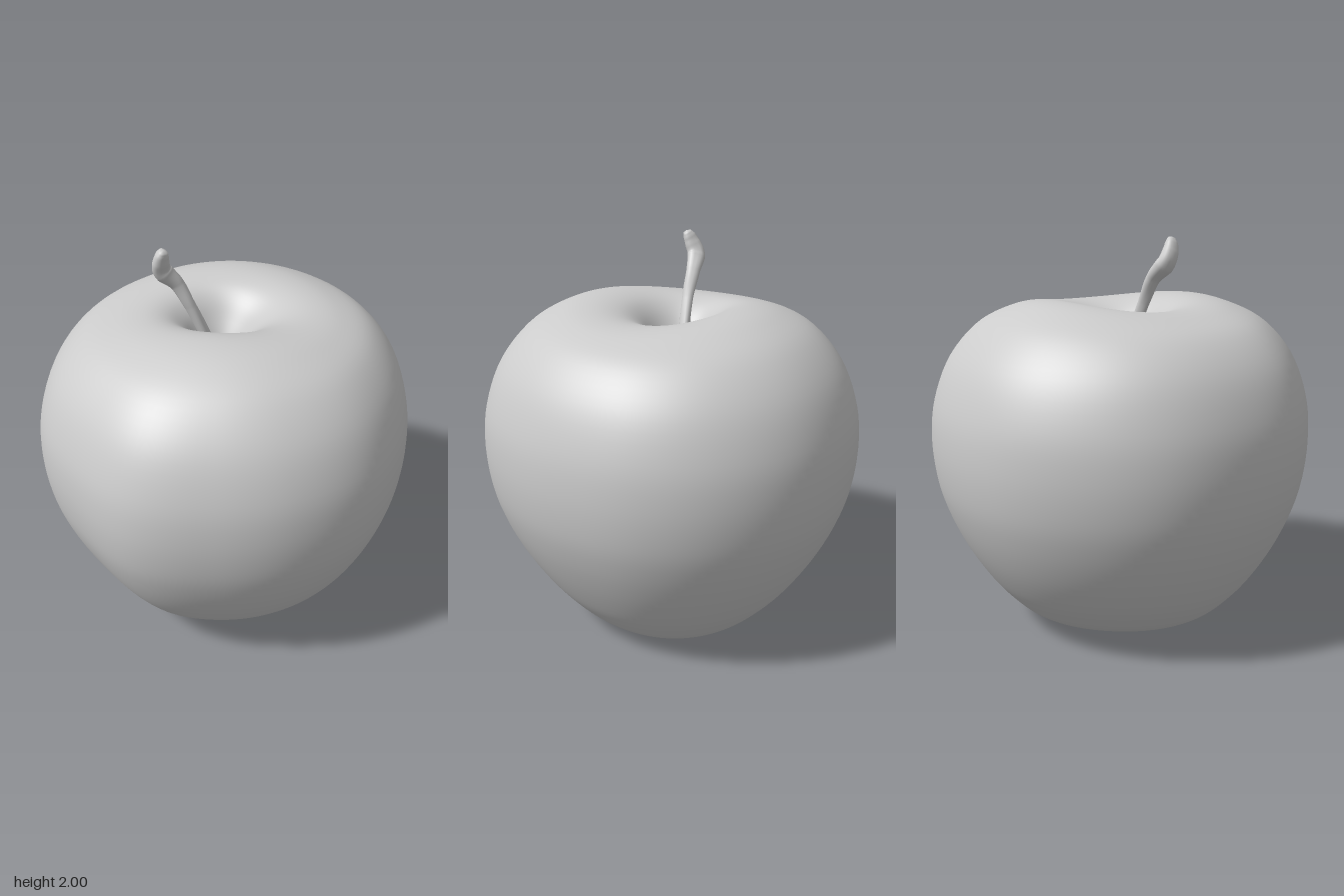
import * as THREE from 'three';
import { mergeVertices } from 'three/addons/utils/BufferGeometryUtils.js';

const grey = new THREE.MeshStandardMaterial({ color: 0xcccccc, side: THREE.DoubleSide });
const { smoothstep } = THREE.MathUtils;

// Drops seams so that the recomputed normals are smooth all round
function smooth(geometry) {
  geometry.deleteAttribute('uv');
  geometry.deleteAttribute('normal');
  const merged = mergeVertices(geometry, 1e-4);
  merged.computeVertexNormals();
  return merged;
}

// Radius of the widest outline every 22.5 degrees, from +x towards +z
const outline = new THREE.CatmullRomCurve3(
  [0.96, 0.94, 0.915, 0.92, 0.948, 0.952, 0.96, 0.995, 0.96, 0.97, 0.957, 0.962, 0.96, 0.968, 0.965, 0.972]
    .map((r) => new THREE.Vector3(r, 0, 0)), true, 'catmullrom', 0.5);

// Body: turned profile with both hollows, then made uneven
function makeBody() {
  const profile = new THREE.SplineCurve([
    [0, 0.24], [0.05, 0.225], [0.11, 0.16], [0.19, 0.075], [0.26, 0.025], [0.34, 0.005], [0.43, 0.025],
    [0.53, 0.085], [0.62, 0.175], [0.71, 0.29], [0.81, 0.455], [0.89, 0.63], [0.94, 0.8], [0.96, 1.0],
    [0.94, 1.2], [0.86, 1.41], [0.72, 1.57], [0.55, 1.65], [0.4, 1.675], [0.28, 1.655], [0.19, 1.595],
    [0.12, 1.5], [0.06, 1.4], [0, 1.36],
  ].map(([r, y]) => new THREE.Vector2(r, y)));
  const points = profile.getPoints(110);
  points.forEach((p) => { p.x = Math.max(0, p.x); });
  points[0].x = points[points.length - 1].x = 0;

  const geometry = new THREE.LatheGeometry(points, 128);
  const pos = geometry.attributes.position;
  for (let i = 0; i < pos.count; i++) {
    let x = pos.getX(i), y = pos.getY(i), z = pos.getZ(i);
    const r = Math.hypot(x, z);
    const a = (Math.atan2(z, x) + Math.PI * 2) % (Math.PI * 2);
    // uneven girth, fading out towards the hollows
    const girth = outline.getPoint(a / (Math.PI * 2)).x / 0.96;
    const k = 1 + (girth - 1) * smoothstep(r, 0.35, 0.85);
    x *= k;
    z *= k;
    const rim = smoothstep(r, 0.05, 0.25) * (1 - smoothstep(r, 0.45, 0.9));
    if (y > 1) {
      // saddle-shaped upper rim, hollow set slightly back
      y += rim * (0.004 - 0.022 * Math.sin(2 * a));
      const inner = 1 - smoothstep(r, 0, 0.5);
      x -= 0.015 * inner;
      z -= 0.06 * inner;
    } else {
      // lower rim rests on its two sides
      y += rim * (0.017 * (1 - Math.cos(2 * a)) + 0.005 * (1 - Math.cos(a)));
    }
    pos.setXYZ(i, x, y, z);
  }
  geometry.computeBoundingBox();
  geometry.translate(0, -geometry.boundingBox.min.y, 0);
  const mesh = new THREE.Mesh(smooth(geometry), grey);
  mesh.name = 'body';
  return mesh;
}

// Stem: bent tube whose thickness swells into a knob near the tip
function makeStem() {
  const path = new THREE.CatmullRomCurve3([
    [-0.015, 1.33, -0.06], [-0.07, 1.5, -0.09], [-0.14, 1.69, -0.13], [-0.185, 1.8, -0.165],
    [-0.25, 1.88, -0.195], [-0.268, 1.94, -0.175], [-0.268, 1.995, -0.15],
  ].map((p) => new THREE.Vector3(...p)));
  const radii = [[0, 0.036], [0.25, 0.028], [0.5, 0.028], [0.68, 0.034], [0.8, 0.046], [0.9, 0.04], [0.96, 0.031], [0.99, 0.02], [1, 0]];
  const radiusAt = (t) => {
    const i = Math.max(1, radii.findIndex(([u]) => u >= t - 1e-9));
    const [[t0, r0], [t1, r1]] = [radii[i - 1], radii[i]];
    return THREE.MathUtils.lerp(r0, r1, (t - t0) / (t1 - t0));
  };
  const rings = 100, sides = 16;
  const geometry = new THREE.TubeGeometry(path, rings, 1, sides);
  const pos = geometry.attributes.position;
  const v = new THREE.Vector3();
  for (let i = 0; i < pos.count; i++) {
    const t = Math.floor(i / (sides + 1)) / rings;
    const c = path.getPointAt(t);
    v.fromBufferAttribute(pos, i).sub(c);
    const ridge = 1 + 0.1 * Math.sin(3 * Math.atan2(v.z, v.x) + 6 * t);
    v.multiplyScalar(radiusAt(t) * ridge).add(c);
    pos.setXYZ(i, v.x, v.y, v.z);
  }
  const mesh = new THREE.Mesh(smooth(geometry), grey);
  mesh.name = 'stem';
  return mesh;
}

// Calyx: small dried sepals inside the lower hollow
function makeCalyx() {
  const calyx = new THREE.Group();
  calyx.name = 'calyx';
  for (let i = 0; i < 5; i++) {
    const sepal = new THREE.Mesh(new THREE.ConeGeometry(0.018, 0.09, 8), grey);
    sepal.name = 'sepal';
    sepal.position.set(0.022, 0.2, 0);
    sepal.rotation.z = Math.PI + 0.35;
    const arm = new THREE.Group();
    arm.name = 'sepalArm';
    arm.rotation.y = (i / 5) * Math.PI * 2;
    arm.add(sepal);
    calyx.add(arm);
  }
  return calyx;
}

export function createModel() {
  const model = new THREE.Group();
  model.name = 'apple';
  model.add(makeBody(), makeStem(), makeCalyx());
  return model;
}
